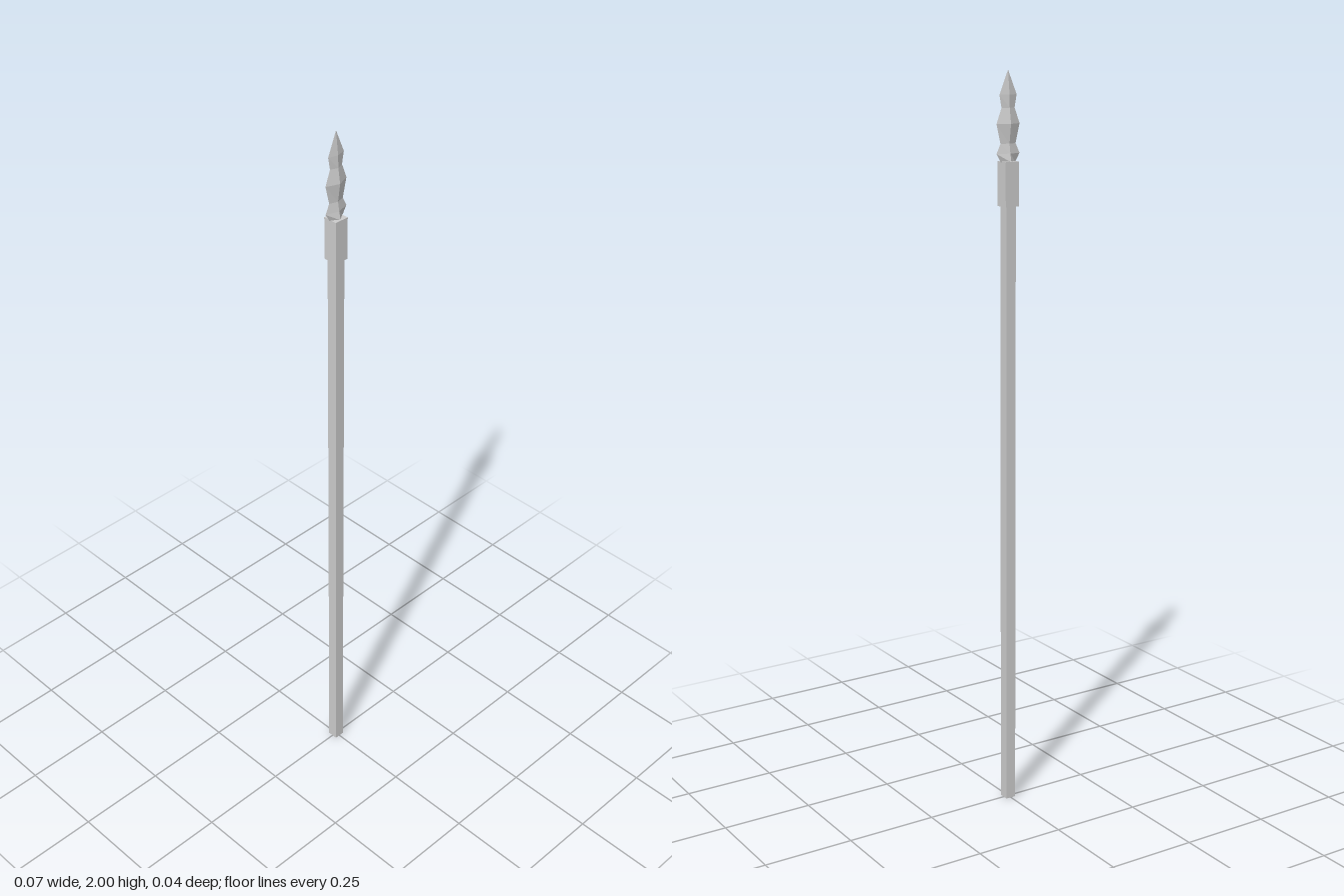
import * as THREE from 'three';

const material = new THREE.MeshStandardMaterial({ color: 0xcccccc, flatShading: true });

function addMesh(group, name, geometry, y = 0) {
  const mesh = new THREE.Mesh(geometry, material);
  mesh.name = name;
  mesh.position.y = y;
  group.add(mesh);
}

// Skin a stack of diamond cross-sections: [height, half width, half depth]
function diamondLoft(sections) {
  const positions = [];
  const indices = [];
  for (const [y, w, d] of sections) {
    positions.push(w, y, 0, 0, y, d, -w, y, 0, 0, y, -d);
  }
  for (let s = 0; s < sections.length - 1; s++) {
    for (let i = 0; i < 4; i++) {
      const a = s * 4 + i;
      const b = s * 4 + (i + 1) % 4;
      indices.push(a, b + 4, b, a, a + 4, b + 4);
    }
  }
  indices.push(0, 1, 2, 0, 2, 3); // underside
  const geometry = new THREE.BufferGeometry();
  geometry.setAttribute('position', new THREE.Float32BufferAttribute(positions, 3));
  geometry.setIndex(indices);
  const flat = geometry.toNonIndexed();
  flat.computeVertexNormals();
  return flat;
}

export function createModel() {
  const spear = new THREE.Group();
  spear.name = 'spear';

  // Long square shaft
  addMesh(spear, 'shaft', new THREE.BoxGeometry(0.029, 1.67, 0.029), 0.835);

  // Square collar holding the head
  addMesh(spear, 'collar', new THREE.BoxGeometry(0.04, 0.115, 0.04), 1.7125);

  // Thin head with three pairs of barbs
  addMesh(spear, 'spearHead', diamondLoft([
    [1.768, 0.022, 0.016],
    [1.79, 0.035, 0.011],
    [1.815, 0.023, 0.007],
    [1.865, 0.035, 0.014],
    [1.905, 0.02, 0.008],
    [1.938, 0.026, 0.007],
    [2.0, 0, 0],
  ]));

  return spear;
}
